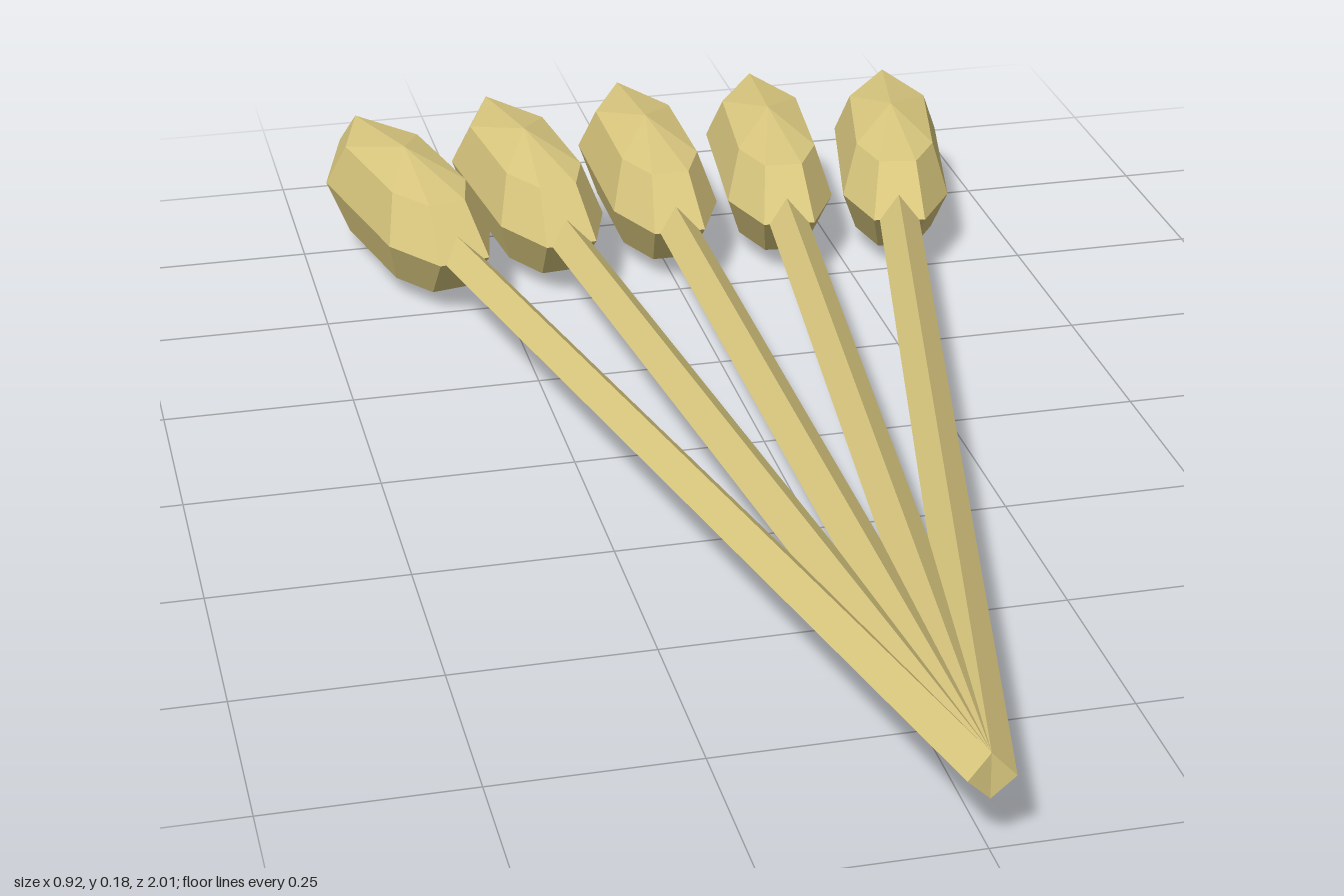
import * as THREE from 'three';
import { ConvexGeometry } from 'three/addons/geometries/ConvexGeometry.js';

const MID_Y = 0.09;     // height of the fan's centre plane
const HEAD_Z = -1.72;   // middle of a head, measured from the shared pivot
const FAN_STEP = THREE.MathUtils.degToRad(6);

// Faceted head: a pointed outline, shrunk above and below, closed by an apex
function headGeometry() {
  const outline = [
    [0, -0.28], [0.075, -0.13], [0.075, 0.13], [0.036, 0.225],
    [-0.036, 0.225], [-0.075, 0.13], [-0.075, -0.13],
  ];
  const points = [];
  for (const [y, scale] of [[-0.065, 0.73], [0, 1], [0.065, 0.73]]) {
    for (const [x, z] of outline) points.push(new THREE.Vector3(x * scale, y, z * scale));
  }
  points.push(new THREE.Vector3(0, 0.09, 0), new THREE.Vector3(0, -0.09, 0));
  return new ConvexGeometry(points).translate(0, 0, HEAD_Z);
}

// Four-sided shaft standing on its edge, running back from the pivot
function shaftGeometry() {
  const length = 1.7;
  return new THREE.CylinderGeometry(0.028, 0.028, length, 4)
    .rotateX(-Math.PI / 2)
    .translate(0, 0, -length / 2);
}

export function createModel() {
  const model = new THREE.Group();
  model.name = 'arrowFan';
  const material = new THREE.MeshStandardMaterial({ color: 0xd9c77e, flatShading: true });
  const headGeo = headGeometry();
  const shaftGeo = shaftGeometry();

  // Five arrows fanned out from the front end
  for (let i = -2; i <= 2; i++) {
    const arrow = new THREE.Group();
    arrow.name = `arrow${i + 3}`;
    const head = new THREE.Mesh(headGeo, material);
    head.name = 'head';
    const shaft = new THREE.Mesh(shaftGeo, material);
    shaft.name = 'shaft';
    arrow.add(head, shaft);
    arrow.position.set(0, MID_Y, 1);
    arrow.rotation.y = -i * FAN_STEP;
    model.add(arrow);
  }
  return model;
}
